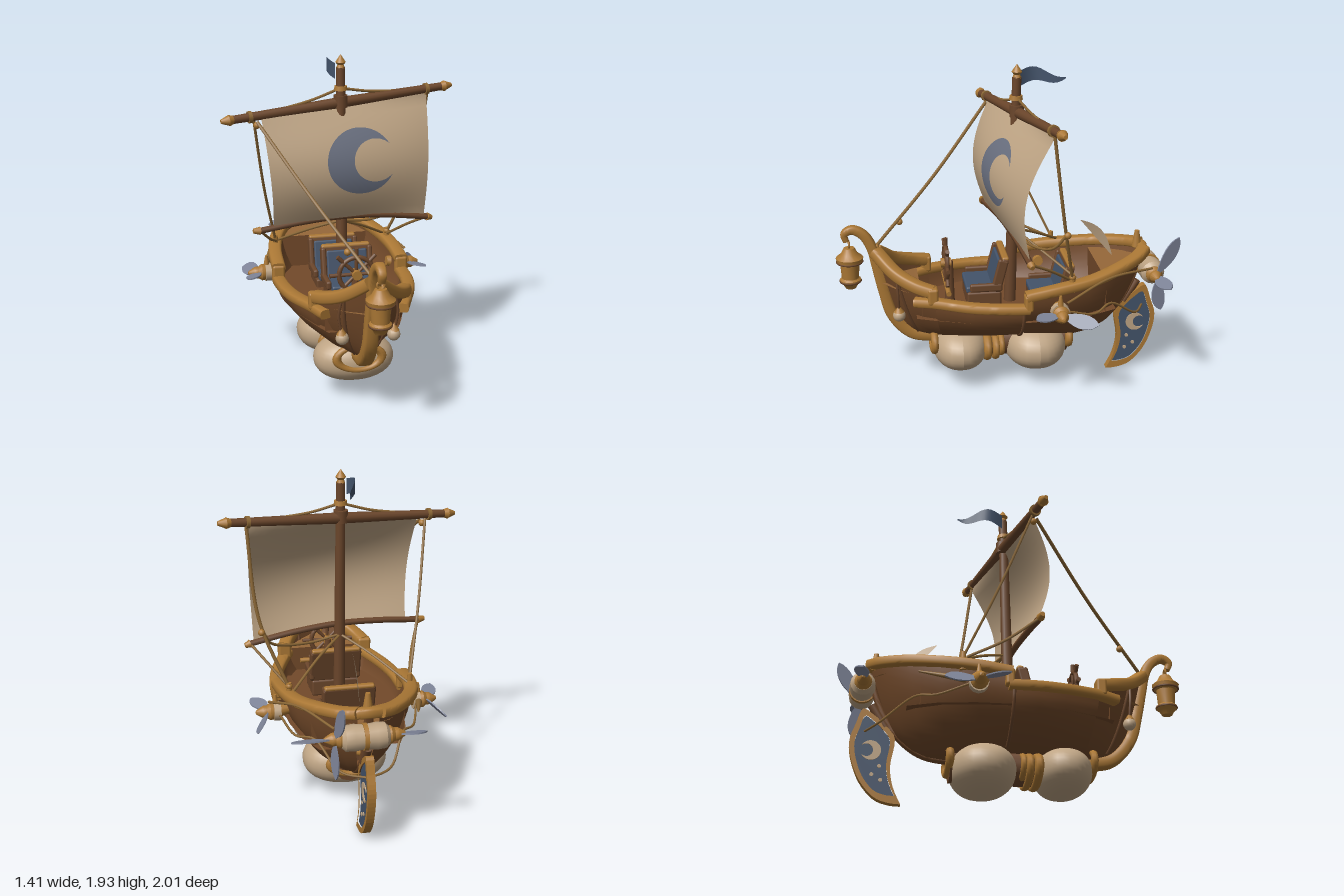
import * as THREE from 'three';
import { toCreasedNormals } from 'three/addons/utils/BufferGeometryUtils.js';
import { RoundedBoxGeometry } from 'three/addons/geometries/RoundedBoxGeometry.js';

const V = (x, y, z) => new THREE.Vector3(x, y, z);
const lerp = THREE.MathUtils.lerp;
const mat = (name, color, side = THREE.FrontSide) => {
  const m = new THREE.MeshStandardMaterial({ color, side });
  m.name = name;
  return m;
};

export function createModel() {
  const trim = mat('golden wood', 0xab7835), hullMat = mat('hull brown', 0x734a2a, THREE.DoubleSide);
  const dark = mat('dark wood', 0x6b462b), deckMat = mat('deck wood', 0x946638, THREE.DoubleSide);
  const canvas = mat('cream canvas', 0xbfa585, THREE.DoubleSide), blue = mat('deep blue', 0x43536a, THREE.DoubleSide);
  const steel = mat('blade grey', 0x80869a, THREE.DoubleSide), moonMat = mat('faded blue', 0x6a7080);
  const ropeMat = mat('rope', 0x8c6836);
  const root = new THREE.Group();

  // ---- helpers ----
  const add = (name, geo, m, pos, parent = root) => {
    const mesh = new THREE.Mesh(geo, m);
    mesh.name = name;
    if (pos) mesh.position.copy(pos);
    parent.add(mesh);
    return mesh;
  };
  // grid surface from f(u, v)
  const surface = (nu, nv, f, caps) => {
    const pos = [], idx = [], k = nv + 1;
    for (let i = 0; i <= nu; i++) for (let j = 0; j <= nv; j++) pos.push(...f(i / nu, j / nv).toArray());
    for (let i = 0; i < nu; i++) for (let j = 0; j < nv; j++) {
      const a = i * k + j;
      idx.push(a, a + 1, a + k, a + 1, a + k + 1, a + k);
    }
    if (caps) for (let j = 1; j < nv - 1; j++) {
      const e = nu * k;
      idx.push(0, j + 1, j, e, e + j, e + j + 1);
    }
    const g = new THREE.BufferGeometry();
    g.setAttribute('position', new THREE.Float32BufferAttribute(pos, 3));
    g.setIndex(idx);
    g.computeVertexNormals();
    return g;
  };
  const power = (x, e) => Math.sign(x) * Math.pow(Math.abs(x), e);
  // rounded-square beam swept along points; taper narrows the far end
  const beam = (name, pts, w, h, m, side, taper = 1) => {
    const c = new THREE.CatmullRomCurve3(pts);
    const g = surface(pts.length * 6, 16, (u, v) => {
      const T = c.getTangent(u), S = side ? side.clone() : V(0, 1, 0).cross(T).normalize();
      const U = T.clone().cross(S), a = v * Math.PI * 2, k = lerp(1, taper, u * u) / 2;
      return c.getPoint(u).addScaledVector(S, power(Math.cos(a), .55) * w * k).addScaledVector(U, power(Math.sin(a), .55) * h * k);
    }, true);
    return add(name, toCreasedNormals(g, 0.9), m);
  };
  const rod = (name, a, b, r1, r2, m, sides = 12) => {
    const d = b.clone().sub(a), mesh = add(name, new THREE.CylinderGeometry(r2, r1, d.length(), sides), m, a.clone().add(b).multiplyScalar(0.5));
    mesh.quaternion.setFromUnitVectors(V(0, 1, 0), d.normalize());
    return mesh;
  };
  const rope = (name, pts, r = 0.008, m = ropeMat) =>
    add(name, new THREE.TubeGeometry(new THREE.CatmullRomCurve3(pts), 24, r, 6), m);
  const lathe = (name, pts, m, pos) =>
    add(name, toCreasedNormals(new THREE.LatheGeometry(pts.map(p => new THREE.Vector2(...p)), 16), 0.6), m, pos);

  // ---- hull: stations [top z, half width, top y, keel z, keel y] ----
  const st = [[.77, .02, .85, .58, .33], [.66, .135, .75, .5, .32], [.55, .215, .7, .43, .31], [.46, .255, .675, .385, .31],
    [.45, .26, .6, .38, .31], [.25, .335, .59, .22, .31], [.1, .365, .585, .08, .31], [-.05, .375, .58, -.05, .31],
    [-.06, .375, .66, -.06, .31], [-.25, .365, .69, -.2, .29], [-.45, .325, .715, -.38, .27], [-.62, .245, .745, -.48, .28],
    [-.76, .14, .77, -.55, .31], [-.82, .06, .785, -.6, .35]];
  const hullPoint = (q, s, sx, grow = 1) => V(sx * q[1] * Math.sqrt(Math.sin(s * Math.PI / 2)) * grow,
    lerp(q[4], q[2], s), lerp(q[3], q[0], Math.pow(s, 0.6)));
  add('hull', surface(st.length - 1, 32, (u, v) => {
    const t = v * 2 - 1;
    return hullPoint(st[Math.round(u * (st.length - 1))], t * t, Math.sign(t));
  }), hullMat);
  const across = (name, rows, m) => add(name, surface(rows.length - 1, 1, (u, v) => {
    const [z, w, y] = rows[Math.round(u * (rows.length - 1))];
    return V((v * 2 - 1) * w, y, z);
  }), m);
  across('floor', st.slice(2, 12).map(q => [q[0], q[1] * 0.93, 0.5]), hullMat);
  across('bowDeck', [[.74, .04, .67], [.66, .125, .66], [.55, .2, .65], [.52, .215, .65]], deckMat);
  across('bowDeckStep', [[.52, .215, .65], [.52, .215, .5]], hullMat);
  across('sternDeck', [[-.55, .27, .7], [-.62, .235, .71], [-.76, .13, .72], [-.81, .05, .73]], deckMat);
  across('sternDeckStep', [[-.55, .26, .5], [-.55, .27, .7]], hullMat);

  // ---- rails, ribs and stem ----
  const side = V(1, 0, 0);
  for (const sx of [1, -1]) {
    const railPts = (a, b, dy) => st.slice(a, b).map(q => V(sx * q[1], q[2] + dy, q[0]));
    beam('bowRail', railPts(0, 4, .01), .08, .07, trim);
    beam('midRail', [V(sx * .215, .615, .56), ...railPts(4, 8, .02), V(sx * .375, .6, -.08)], .075, .055, trim);
    beam('sternRail', railPts(8, 14, .015), .08, .06, trim);
    add('railEndBlock', new RoundedBoxGeometry(.08, .1, .06, 2, .015), trim, V(sx * .255, .665, .46));
    add('railEndBlock', new RoundedBoxGeometry(.075, .1, .05, 2, .015), trim, V(sx * .375, .64, -.075));
    for (const i of [1, 7])
      rope('hullRib', [1, .8, .6, .4, .2, .08].map(s => hullPoint(st[i], s, sx, 1.005)), .01, dark);
    // hanging lamp by the bow
    rope('lampCord', [V(sx * .15, .74, .66), V(sx * .165, .64, .655), V(sx * .15, .54, .65)], .008, dark);
    add('lampGlobe', new THREE.SphereGeometry(.037, 14, 10), canvas, V(sx * .145, .505, .65));
    add('lampCap', new THREE.ConeGeometry(.03, .045, 10), trim, V(sx * .148, .55, .65));
    // belaying post
    rod('railPost', V(sx * .35, .68, -.33), V(sx * .35, .79, -.33), .02, .014, trim);
  }
  beam('stem', [V(0, .3, .42), V(0, .33, .57), V(0, .45, .68), V(0, .62, .73), V(0, .78, .765), V(0, .88, .79),
    V(0, .96, .835), V(0, .995, .9), V(0, .97, .945), V(0, .925, .935)], .085, .075, trim, side, .45);
  beam('keel', [V(0, .31, .45), V(0, .31, .1), V(0, .29, -.2), V(0, .275, -.4), V(0, .31, -.54), V(0, .43, -.68), V(0, .6, -.77), V(0, .78, -.82)],
    .05, .03, hullMat, side);
  beam('sternCap', [V(-.09, .79, -.8), V(0, .8, -.82), V(.09, .79, -.8)], .06, .06, trim);
  rod('sternFinial', V(0, .8, -.79), V(0, .9, -.79), .03, .014, trim);

  // ---- lantern ----
  lathe('lanternBody', [[0, .635], [.03, .635], [.045, .66], [.062, .675], [.062, .69], [.05, .7], [.056, .79], [.075, .8], [.08, .825], [.05, .85], [.032, .885], [0, .89]], trim, V(0, 0, .92));
  for (const [y, r] of [[.8, .074], [.68, .06]])
    add('lanternBand', new THREE.TorusGeometry(r, .006, 6, 18), dark, V(0, y, .92)).rotation.x = Math.PI / 2;
  add('lanternRing', new THREE.TorusGeometry(.02, .007, 6, 14), trim, V(0, .905, .92));

  // ---- gas bags and their straps ----
  for (const [y, z, r] of [[.23, .285, [.235, .135, .165]], [.22, -.17, [.25, .145, .19]]])
    add('gasBag', surface(32, 20, (u, v) => {
      // slightly boxy ellipsoid
      const a = u * Math.PI * 2, b = (.5 - v) * Math.PI, cb = Math.pow(Math.max(Math.cos(b), 0), .93);
      return V(Math.cos(a) * cb * r[0], y + power(Math.sin(b), .93) * r[1], z + power(Math.sin(a), .88) * cb * r[2]);
    }), canvas);
  rod('bagCore', V(0, .25, .4), V(0, .25, -.36), .1, .1, dark);
  for (const [z, r, t, y] of [[.445, .11, .022, .285], [.13, .12, .026, .235], [.08, .12, .022, .235], [.045, .11, .018, .245], [-.365, .1, .024, .27]])
    add('bagStrap', new THREE.TorusGeometry(r, t, 8, 28), trim, V(0, y, z)).scale.set(1.2, .68, 1);

  // ---- seats ----
  for (const [y, z] of [[.62, .06], [.55, -.33]]) {
    const g = new THREE.Group();
    g.name = 'seat';
    g.position.set(.01, y, z);
    root.add(g);
    const box = (n, w, h, d, m, x, yy, zz) => add(n, new RoundedBoxGeometry(w, h, d, 2, .012), m, V(x, yy, zz), g);
    box('seatBase', .28, .1, .2, dark, 0, -.05, .09);
    box('seatCushion', .25, .04, .19, blue, 0, .01, .1);
    box('seatBack', .3, .21, .04, dark, 0, .1, -.01).rotation.x = -.25;
    box('backCushion', .24, .17, .02, blue, 0, .1, .015).rotation.x = -.25;
    box('seatTopRail', .29, .025, .04, trim, 0, .2, -.035);
    for (const sx of [1, -1]) {
      box('armRest', .03, .05, .19, dark, sx * .14, .03, .08);
      box('backEdge', .03, .2, .06, dark, sx * .138, .1, 0).rotation.x = -.25;
    }
  }

  // ---- steering wheel ----
  add('wheelRim', new THREE.TorusGeometry(.1, .014, 8, 28), dark, V(0, .76, .36));
  for (let i = 0; i < 8; i++) {
    const a = i * Math.PI / 4, d = V(Math.cos(a), Math.sin(a), 0), c = V(0, .76, .36);
    rod('wheelSpoke', c, c.clone().addScaledVector(d, .155), .009, .013, dark, 8);
  }
  rod('wheelHub', V(0, .76, .33), V(0, .76, .39), .028, .028, trim);
  rod('wheelPost', V(0, .5, .34), V(0, .77, .34), .03, .022, dark);
  rod('wheelBar', V(-.17, .63, .36), V(.17, .63, .36), .015, .015, trim);

  // ---- mast, yard and boom ----
  rod('mast', V(0, .5, -.02), V(0, 1.86, -.06), .036, .026, dark);
  lathe('mastTop', [[0, 1.85], [.026, 1.855], [.018, 1.875], [.03, 1.89], [0, 1.935]], trim, V(0, 0, -.06));
  rod('mastCollar', V(0, 1.73, -.055), V(0, 1.755, -.055), .04, .036, trim);
  rod('yardLashing', V(0, 1.63, -.06), V(0, 1.7, -.06), .042, .042, dark);
  const yardAt = x => V(x, 1.655 + .066 * x, -.065 - .2 * x), boomZ = x => -.13 * x + .01;
  for (const sx of [1, -1]) {
    rod('yard', yardAt(0), yardAt(sx * .645), .032, .023, dark);
    rod('yardSleeve', yardAt(sx * .635), yardAt(sx * .66), .024, .032, trim);
    rod('yardTip', yardAt(sx * .66), yardAt(sx * .705), .03, .012, trim);
    rod('yardKnot', yardAt(sx * .53), yardAt(sx * .55), .034, .034, ropeMat);
    rope('yardLift', [V(0, 1.74, -.06), yardAt(sx * .18).add(V(0, .04, 0)), yardAt(sx * .33).add(V(0, .02, 0))]);
  }
  const boom = [-.5, -.25, 0, .27, .53].map((x, i) => V(x, [.96, .985, .995, .975, .935][i], boomZ(x)));
  rope('boom', boom, .019, dark);
  rod('boomTip', boom[0], V(-.54, .963, .08), .024, .014, trim);
  rod('boomTip', boom[4], V(.56, .927, -.065), .024, .014, trim);

  // ---- sail with crescent ----
  const sailZ = (x, y) => {
    const t = THREE.MathUtils.clamp((y - .96) / .68, 0, 1);
    return lerp(boomZ(x), -.065 - .2 * x, t) + Math.sin(Math.PI * t) * (.085 + .05 * (1 - 4 * x * x));
  };
  add('sail', surface(20, 20, (u, v) => {
    const x = lerp(lerp(-.42, .51, u), lerp(-.475, .545, u), Math.pow(v, 1.3));
    const y = lerp(lerp(.965, .94, u) + .03 * Math.sin(Math.PI * u), 1.635 + .066 * x, v);
    return V(x, y, sailZ(x, y));
  }), canvas);
  // crescent point: u runs along the arc, v from inner to outer edge
  const crescent = (u, v) => {
    const a = lerp(.471, 2 * Math.PI - .471, u), b = lerp(.773, 2 * Math.PI - .773, u);
    return [lerp(.426 + .65 * Math.cos(b), Math.cos(a), v), lerp(.65 * Math.sin(b), Math.sin(a), v)];
  };
  add('sailCrescent', surface(40, 6, (u, v) => {
    const [a, b] = crescent(u, v), x = .095 + .207 * a - .012 * b, y = 1.335 + .187 * b;
    return V(x, y, sailZ(x, y) + .008);
  }), moonMat);

  // ---- flag ----
  add('flag', surface(12, 2, (u, v) => V(-.03 - .03 * Math.sin(u * 5), 1.85 + (v - .5) * .09 * (1 - u * u * .9) + .014 * Math.sin(u * 7 - 1), -.07 - .27 * u)), blue);

  // ---- rigging ----
  rope('forestay', [yardAt(-.5).add(V(0, -.03, .02)), V(-.25, 1.22, .4), V(0, .88, .77)], .01);
  rope('backstay', [yardAt(.55), V(.5, 1.15, -.25), V(.35, .76, -.33)], .01);
  rope('portSheet', [boom[4], V(.45, .86, -.18), V(.35, .76, -.31)]);
  rope('starboardSheet', [boom[0], V(-.42, .85, -.1), V(-.35, .76, -.31)]);
  rope('leftStay', [yardAt(-.52), V(-.44, 1.15, -.15), V(-.35, .76, -.33)]);
  for (const sx of [1, -1]) rope('mastLine', [V(0, .95, -.05), V(sx * .15, .87, -.18), V(sx * .33, .75, -.36)]);
  rope('looseLine', [V(.48, 1.08, -.27), V(.42, .98, -.2), V(.2, .93, -.1), V(0, .95, -.05)]);
  rope('sternLine', [V(.46, .66, -.28), V(.33, .74, -.55), V(.19, .73, -.84)]);
  for (const p of [V(-.5, 1.57, .04), V(-.11, .99, .62), V(0, .88, .765), V(.35, .77, -.33), V(.49, 1.08, -.27)])
    add('ropeKnot', new THREE.SphereGeometry(.02, 10, 8), trim, p);

  // ---- propellers: each blade is a leaf from base to tip, facing a normal ----
  const blade = (base, tip, facing) => {
    const X = tip.clone().sub(base), len = X.length(), s = new THREE.Shape();
    X.normalize();
    const Y = facing.clone().cross(X).normalize();
    s.moveTo(.02, -.012);
    s.bezierCurveTo(len * .5, -.075, len * .85, -.05, len, 0);
    s.bezierCurveTo(len * .8, .055, len * .4, .04, .02, .012);
    const mesh = add('propellerBlade', new THREE.ExtrudeGeometry(s, { depth: .008, bevelEnabled: false, curveSegments: 8 }), steel, base);
    mesh.quaternion.setFromRotationMatrix(new THREE.Matrix4().makeBasis(X, Y, X.clone().cross(Y)));
  };
  const hub = (pos, sx) => lathe('propellerHub', [[0, -.04], [.045, -.04], [.05, -.01], [.036, .01], [.036, .03], [.012, .07], [0, .075]], trim, pos)
    .rotation.z = -sx * Math.PI / 2;
  for (const sx of [1, -1]) {
    rod('engineBracket', V(sx * .33, .6, -.25), V(sx * .42, .59, -.25), .03, .045, trim);
    rod('engineBody', V(sx * .39, .585, -.25), V(sx * .43, .585, -.25), .055, .055, canvas);
    rod('engineFin', V(sx * .42, .62, -.25), V(sx * .42, .69, -.25), .02, .008, trim);
    const c = V(sx * .46, .585, -.25);
    hub(c, sx);
    blade(c, V(sx * .54, .55, -.45), V(sx, .7, 0));
    blade(c, V(sx * .54, .6, -.09), V(sx * .2, 1, 0));
    hub(V(.03 + sx * .15, .68, -.86), sx);
    rope('rudderLine', [V(sx * .4, .58, -.3), V(sx * .34, .53, -.47), V(sx * .25, .55, -.58), V(sx * .14, .43, -.76), V(0, .42, -.84)], .007);
  }
  rod('engineSpar', V(-.41, .6, -.32), V(-.34, .66, -.57), .02, .005, ropeMat);
  blade(V(.2, .68, -.87), V(.43, .69, -.89), V(0, 1, .3));
  blade(V(.19, .69, -.87), V(.17, .91, -1), V(1, 0, -.3));
  blade(V(.19, .67, -.87), V(.19, .46, -.9), V(1, 0, -.3));
  blade(V(-.13, .68, -.87), V(-.31, .68, -.87), V(0, 1, .3));
  // stern drum of two bulging halves
  lathe('sternDrum', [[0, -.13], [.05, -.13], [.07, -.11], [.074, -.06], [.066, 0], [.074, .06], [.07, .11], [.05, .13], [0, .13]], canvas, V(.03, .68, -.86))
    .rotation.z = -Math.PI / 2;
  rod('drumBand', V(.018, .68, -.86), V(.042, .68, -.86), .074, .074, trim, 18);

  // ---- rudder: shape x is toward the stern ----
  const outline = new THREE.SplineCurve([[.62, .005], [.665, .1], [.685, .22], [.665, .38], [.72, .46], [.79, .52], [.85, .55], [.885, .46], [.915, .36], [.9, .25], [.85, .13], [.77, .04], [.69, .01], [.62, .005]]
    .map(p => new THREE.Vector2(...p))).getPoints(52).slice(0, -1);
  const plate = (name, shape, d, m) => {
    const g = new THREE.ExtrudeGeometry(shape, { depth: d, bevelEnabled: false });
    g.translate(0, 0, -d / 2).rotateY(Math.PI / 2);
    return add(name, g, m);
  };
  const inner = outline.map(p => new THREE.Vector2(lerp(.785, p.x, .78), lerp(.29, p.y, .84)));
  const frame = new THREE.Shape(outline);
  frame.holes.push(new THREE.Path(inner));
  plate('rudderFrame', frame, .045, trim);
  plate('rudderPanel', new THREE.Shape(inner), .03, blue);
  const arc = v => Array.from({ length: 25 }, (_, i) => crescent(i / 24, v)).map(([x, y]) => new THREE.Vector2(.795 + .057 * x, .31 + .057 * y));
  plate('rudderCrescent', new THREE.Shape([...arc(1), ...arc(0).reverse()]), .04, canvas);
  for (const [x, y] of [[.745, .22], [.785, .17], [.735, .14]])
    plate('rudderStar', new THREE.Shape().absarc(x, y, .011, 0, Math.PI * 2), .04, canvas);
  rod('rudderHinge', V(0, .45, -.72), V(0, .58, -.8), .025, .025, dark);

  // ---- curved feather on the stern deck ----
  add('deckFeather', surface(10, 4, (u, v) => {
    const k = Math.sin(Math.PI * u), w = (v - .5) * .04 * k;
    return V(.01 + w * .4, .75 + .24 * u + .03 * k + w, -.64 + .2 * u - .01 * k - w);
  }), canvas);
  return root;
}
